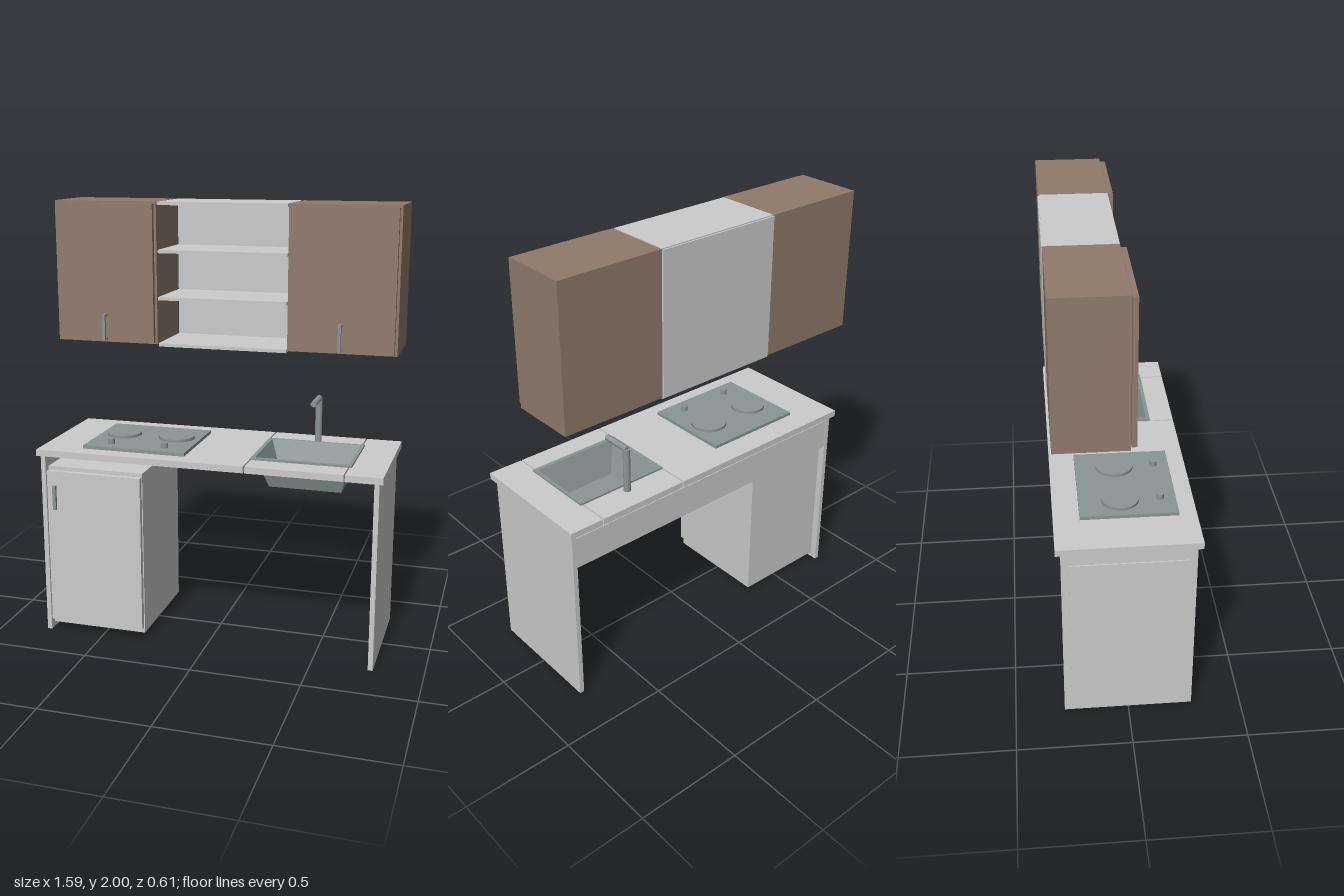
import * as THREE from 'three';

const grey = new THREE.MeshStandardMaterial({ color: 0xcccccc });
const brown = new THREE.MeshStandardMaterial({ color: 0x907b6c });
const metal = new THREE.MeshStandardMaterial({ color: 0x8a9694 });
const sinkMetal = new THREE.MeshStandardMaterial({ color: 0x8a9694, side: THREE.DoubleSide });

function add(parent, name, geometry, material) {
  const mesh = new THREE.Mesh(geometry, material);
  mesh.name = name;
  parent.add(mesh);
  return mesh;
}

// Box given by its lower and upper limits on each axis
function box(parent, name, material, [x0, x1], [y0, y1], [z0, z1]) {
  const mesh = add(parent, name, new THREE.BoxGeometry(x1 - x0, y1 - y0, z1 - z0), material);
  mesh.position.set((x0 + x1) / 2, (y0 + y1) / 2, (z0 + z1) / 2);
  return mesh;
}

// Upright disc standing on height y
function disc(parent, name, x, y, z, radius, height) {
  const mesh = add(parent, name, new THREE.CylinderGeometry(radius, radius, height, 32), metal);
  mesh.position.set(x, y + height / 2, z);
}

function part(parent, name) {
  const group = new THREE.Group();
  group.name = name;
  parent.add(group);
  return group;
}

// Rectangular loops [x0, x1, y, z0, z1] joined by flat walls, the last one closed
function basinGeometry(loops) {
  const corners = loops.map(([x0, x1, y, z0, z1]) =>
    [[x0, y, z1], [x1, y, z1], [x1, y, z0], [x0, y, z0]]);
  const points = [];
  const quad = (a, b, c, d) => points.push(...a, ...b, ...c, ...a, ...c, ...d);
  for (let i = 0; i < corners.length - 1; i++) {
    for (let k = 0; k < 4; k++) {
      const n = (k + 1) % 4;
      quad(corners[i][k], corners[i][n], corners[i + 1][n], corners[i + 1][k]);
    }
  }
  quad(...corners[corners.length - 1]);
  const geometry = new THREE.BufferGeometry();
  geometry.setAttribute('position', new THREE.Float32BufferAttribute(points, 3));
  geometry.computeVertexNormals();
  return geometry;
}

function addWallCabinet(parent, side) {
  const span = (a, b) => side > 0 ? [a, b] : [-b, -a];
  const cabinet = part(parent, side > 0 ? 'leftWallCabinet' : 'rightWallCabinet');
  box(cabinet, 'cabinetBody', brown, span(0.305, 0.795), [1.355, 2], [-0.305, 0]);
  box(cabinet, 'cabinetDoor', brown, span(0.315, 0.784), [1.363, 1.99], [0.003, 0.025]);
  const x = span(0.54, 0.555);
  box(cabinet, 'handleBar', metal, x, [1.372, 1.49], [0.048, 0.06]);
  for (const y of [1.372, 1.48]) box(cabinet, 'handleMount', metal, x, [y, y + 0.01], [0.025, 0.048]);
}

export function createModel() {
  const model = new THREE.Group();
  model.name = 'kitchenette';

  // Wall cabinets and the open shelf between them
  addWallCabinet(model, -1);
  addWallCabinet(model, 1);
  const shelves = part(model, 'openShelf');
  for (let i = 0; i < 4; i++) {
    const y = 1.345 + i * 0.2133;
    box(shelves, 'shelf', grey, [-0.3, 0.3], [y, y + 0.015], [-0.3, 0]);
  }
  box(shelves, 'shelfBack', grey, [-0.3, 0.3], [1.35, 1.995], [-0.307, -0.297]);

  // Worktop in three sections, the middle one cut out for the sink
  const top = part(model, 'worktop');
  box(top, 'worktopRight', grey, [-0.795, 0.185], [0.865, 0.895], [-0.305, 0.305]);
  box(top, 'worktopLeft', grey, [0.632, 0.795], [0.865, 0.895], [-0.305, 0.305]);
  const slab = new THREE.Shape([[0.192, -0.305], [0.626, -0.305], [0.626, 0.305], [0.192, 0.305]]
    .map(([x, y]) => new THREE.Vector2(x, y)));
  slab.holes.push(new THREE.Path([[0.21, -0.172], [0.21, 0.147], [0.622, 0.147], [0.622, -0.172]]
    .map(([x, y]) => new THREE.Vector2(x, y))));
  const slabGeometry = new THREE.ExtrudeGeometry(slab, { depth: 0.03, bevelEnabled: false });
  slabGeometry.rotateX(-Math.PI / 2).translate(0, 0.865, 0);
  add(top, 'worktopMiddle', slabGeometry, grey);

  // Side panels and rear apron
  for (const side of [-1, 1]) {
    box(model, 'sidePanel', grey, side > 0 ? [0.755, 0.777] : [-0.783, -0.761], [0, 0.865], [-0.283, 0.283]);
  }
  box(model, 'rearApron', grey, [-0.762, 0.755], [0.69, 0.84], [-0.28, -0.26]);

  // Under-counter fridge
  const fridge = part(model, 'fridge');
  box(fridge, 'fridgeBody', grey, [-0.788, -0.3], [0.025, 0.805], [-0.25, 0.25]);
  box(fridge, 'fridgeDoor', grey, [-0.76, -0.304], [0.05, 0.787], [0.25, 0.275]);
  box(fridge, 'fridgeHandle', metal, [-0.73, -0.714], [0.605, 0.72], [0.275, 0.288]);

  // Hob with two plates and two knobs
  const hob = part(model, 'hob');
  box(hob, 'hobPlate', metal, [-0.595, -0.108], [0.895, 0.91], [-0.192, 0.228]);
  disc(hob, 'burner', -0.482, 0.91, -0.012, 0.081, 0.013);
  disc(hob, 'burner', -0.222, 0.91, -0.016, 0.084, 0.013);
  for (const x of [-0.482, -0.222]) disc(hob, 'knob', x, 0.91, 0.16, 0.016, 0.024);

  // Sink: rim, sloping walls and floor
  add(model, 'sink', basinGeometry([
    [0.19, 0.642, 0.895, -0.165, 0.193],
    [0.19, 0.642, 0.904, -0.165, 0.193],
    [0.207, 0.627, 0.904, -0.15, 0.175],
    [0.26, 0.588, 0.757, -0.1, 0.125],
  ]), sinkMetal);

  // Tap: upright post with a spout reaching forward
  const tap = part(model, 'tap');
  disc(tap, 'tapPost', 0.417, 0.895, -0.198, 0.016, 0.208);
  const spout = add(tap, 'tapSpout', new THREE.CylinderGeometry(0.014, 0.014, 0.135, 24), metal);
  spout.rotation.x = Math.PI / 2;
  spout.position.set(0.417, 1.103, -0.135);

  return model;
}
